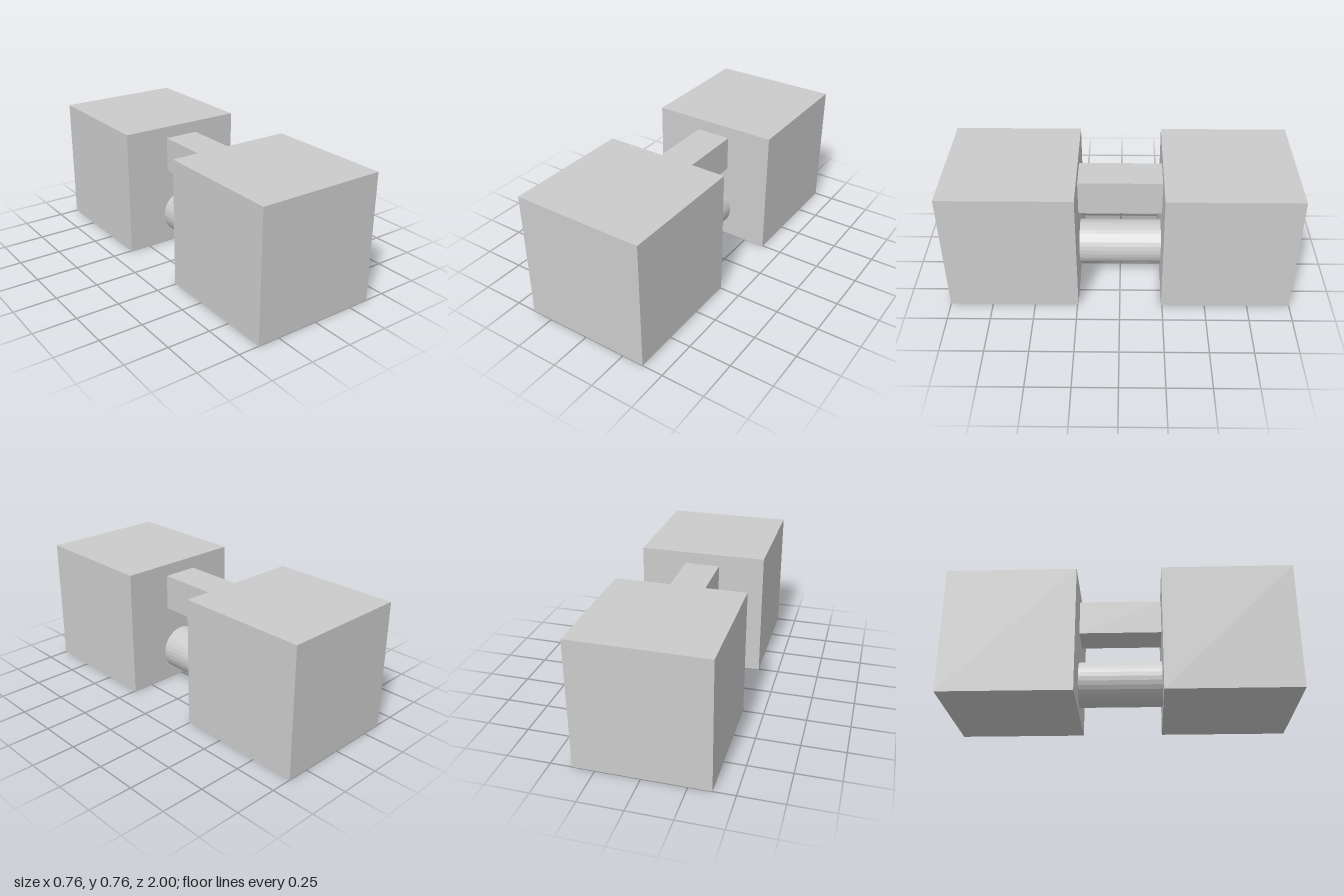
import * as THREE from 'three';

const CUBE = 0.756; // edge of each end block
const GAP = 2 - 2 * CUBE; // free space between the blocks

export function createModel() {
  const group = new THREE.Group();
  const material = new THREE.MeshStandardMaterial({ color: 0xcccccc, flatShading: true });

  const add = (name, geometry, y, z = 0) => {
    const mesh = new THREE.Mesh(geometry, material);
    mesh.name = name;
    mesh.position.set(0, y, z);
    group.add(mesh);
  };

  // Matching end blocks
  for (const [name, side] of [['frontBlock', 1], ['backBlock', -1]]) {
    add(name, new THREE.BoxGeometry(CUBE, CUBE, CUBE), CUBE / 2, side * (1 - CUBE / 2));
  }

  // Square upper bar joining the blocks
  add('upperBar', new THREE.BoxGeometry(0.21, 0.21, GAP), 0.58);

  // Round lower rod joining the blocks
  add('lowerRod', new THREE.CylinderGeometry(0.134, 0.134, GAP, 32).rotateX(Math.PI / 2), 0.184);

  return group;
}
